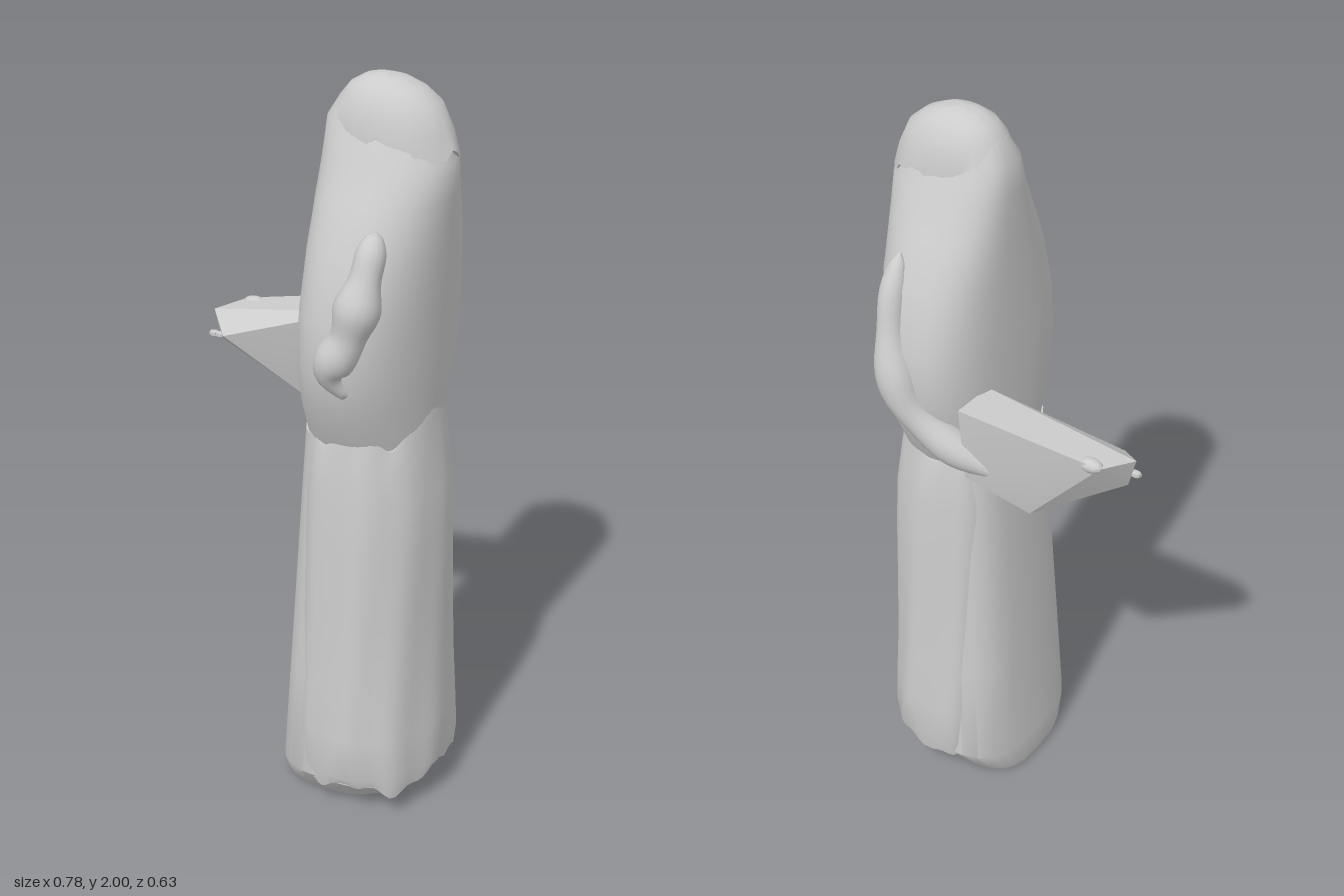
import * as THREE from 'three';
import { toCreasedNormals } from 'three/addons/utils/BufferGeometryUtils.js';
import { ConvexGeometry } from 'three/addons/geometries/ConvexGeometry.js';

const material = new THREE.MeshStandardMaterial({ color: 0xcccccc, side: THREE.DoubleSide });

function part(name, geometry, crease = 0.6) {
  const mesh = new THREE.Mesh(toCreasedNormals(geometry, crease), material);
  mesh.name = name;
  return mesh;
}

// Closed loft through rings [y, xFront, xBack, zHalf].
// square flattens the front; adjust(v, t, row) moves each vertex.
function loft(rings, { square = 0.7, seg = 48, adjust = () => {} } = {}) {
  const pos = [], index = [], v = new THREE.Vector3();
  const curve = (n, p) => Math.sign(n) * Math.pow(Math.abs(n), p);
  rings.forEach(([y, x0, x1, zh], row) => {
    for (let i = 0; i < seg; i++) {
      const t = (i / seg) * Math.PI * 2, c = Math.cos(t), s = Math.sin(t);
      const p = c < 0 ? square : 0.95;
      v.set((x0 + x1) / 2 + curve(c, p) * (x1 - x0) / 2, y, curve(s, p) * zh);
      adjust(v, t, row);
      pos.push(v.x, v.y, v.z);
      if (row < rings.length - 1) {
        const a = row * seg + i, b = row * seg + (i + 1) % seg;
        index.push(a, a + seg, b, b, a + seg, b + seg);
      }
    }
  });
  // Fan caps
  [0, rings.length - 1].forEach((row) => {
    const [y, x0, x1] = rings[row], centre = pos.length / 3;
    pos.push((x0 + x1) / 2, y, 0);
    for (let i = 0; i < seg; i++) {
      const a = row * seg + i, b = row * seg + (i + 1) % seg;
      index.push(...(row ? [centre, b, a] : [centre, a, b]));
    }
  });
  const g = new THREE.BufferGeometry();
  g.setAttribute('position', new THREE.Float32BufferAttribute(pos, 3));
  g.setIndex(index);
  return g;
}

// Lumpy limb: a tube whose radius swells and closes at both ends
function limb(points, radius) {
  const path = new THREE.CatmullRomCurve3(points.map((p) => new THREE.Vector3(...p)));
  const n = 32, sides = 16, g = new THREE.TubeGeometry(path, n, 1, sides);
  const p = g.attributes.position, v = new THREE.Vector3();
  for (let i = 0; i <= n; i++) {
    const u = i / n, c = path.getPointAt(u);
    const r = radius * Math.pow(Math.max(0, Math.sin(Math.PI * u)), 0.45) * (1 + 0.13 * Math.sin(u * 19));
    for (let j = 0; j <= sides; j++) {
      const k = i * (sides + 1) + j;
      v.fromBufferAttribute(p, k).sub(c).multiplyScalar(r).add(c);
      p.setXYZ(k, v.x, v.y, v.z);
    }
  }
  return g;
}

const jag = (t) => 0.018 * Math.sin(5 * t + 1) + 0.01 * Math.sin(13 * t);

export function createModel() {
  const group = new THREE.Group();

  // Inner gown: slopes forward to a flat toe at the ground
  group.add(part('innerGown', loft([
    [0.0, -0.05, 0.27, 0.16], [0.02, -0.055, 0.3, 0.18], [0.09, -0.05, 0.365, 0.23],
    [0.4, -0.03, 0.35, 0.22], [1.1, 0.01, 0.31, 0.185],
  ], { square: 0.6, seg: 24 })));

  // Outer robe skirt with soft folds, ragged at the hem and waist
  const skirt = [
    [0.09, 0.01, 0.375, 0.24], [0.13, 0.005, 0.38, 0.25], [0.25, 0.0, 0.372, 0.25],
    [0.4, 0.0, 0.365, 0.238], [0.6, 0.0, 0.36, 0.23], [0.8, 0.0, 0.357, 0.222],
    [0.95, 0.003, 0.35, 0.215], [1.05, 0.01, 0.335, 0.205], [1.11, 0.015, 0.325, 0.195],
  ];
  group.add(part('robeSkirt', loft(skirt, {
    square: 0.75, seg: 72,
    adjust(v, t, row) {
      const fold = 1 + 0.02 * Math.sin(9 * t + v.y * 3) * (1 - v.y * 0.6);
      v.x = 0.18 + (v.x - 0.18) * fold;
      v.z *= fold;
      if (row === 0) v.y += jag(t);
      if (row === skirt.length - 1) v.y += jag(t) + 0.045 * Math.pow(Math.max(0, Math.cos(t)), 6);
    },
  }), 0.9));

  // Upper body, wide at the elbows and tapering to the hood
  group.add(part('torso', loft([
    [1.08, 0.01, 0.32, 0.185], [1.2, 0.01, 0.328, 0.245], [1.32, 0.012, 0.335, 0.275],
    [1.45, 0.015, 0.34, 0.27], [1.6, 0.02, 0.35, 0.23], [1.72, 0.022, 0.355, 0.17],
    [1.81, 0.025, 0.358, 0.122], [1.89, 0.03, 0.31, 0.088], [1.94, 0.06, 0.26, 0.06],
  ], { square: 0.75 })));

  // Hood cap, sloping down at the back
  group.add(part('hoodCap', loft([
    [1.86, 0.035, 0.362, 0.105], [1.9, 0.042, 0.345, 0.1], [1.94, 0.06, 0.315, 0.086],
    [1.972, 0.085, 0.275, 0.065], [1.992, 0.12, 0.23, 0.038], [2.0, 0.15, 0.19, 0.012],
  ], {
    square: 0.9, seg: 36,
    adjust(v, t, row) {
      if (row === 0) v.y += jag(t) * 0.9 - 0.03 * Math.cos(t) - 0.01;
      if (row === 1) v.y -= 0.025 * Math.max(0, Math.cos(t));
    },
  }), 0.9));

  // Arms emerging from the sides of the robe
  group.add(part('leftArm', limb([
    [0.25, 1.68, 0.19], [0.24, 1.55, 0.235], [0.21, 1.42, 0.255], [0.17, 1.33, 0.262], [0.21, 1.26, 0.24],
  ], 0.052), 1.2));
  group.add(part('rightArm', limb([
    [0.23, 1.68, -0.19], [0.23, 1.55, -0.235], [0.21, 1.4, -0.26], [0.17, 1.3, -0.265],
    [0.07, 1.2, -0.235], [-0.04, 1.15, -0.205], [-0.12, 1.12, -0.18],
  ], 0.048), 1.2));

  // Wide sleeve held out in front
  group.add(part('rightSleeve', new ConvexGeometry([
    [0.03, 1.325, -0.25], [0.03, 1.32, -0.12], [0.02, 1.12, -0.24], [0.02, 1.13, -0.15],
    [-0.34, 1.26, -0.19], [-0.39, 1.25, -0.1], [-0.37, 1.17, -0.1], [-0.32, 1.21, -0.03],
    [-0.14, 1.04, -0.19], [-0.14, 1.045, -0.13],
  ].map((p) => new THREE.Vector3(...p))), 0.5));

  // Fingers at the sleeve opening
  [[-0.31, 1.255, -0.18, 0.034], [-0.375, 1.19, -0.075, 0.018], [-0.345, 1.2, -0.055, 0.016]]
    .forEach(([x, y, z, r]) => {
      const finger = part('finger', new THREE.SphereGeometry(r, 12, 8), 1.2);
      finger.scale.set(1, 0.55, 0.6);
      finger.position.set(x, y, z);
      group.add(finger);
    });

  // Shoes peeking out under the hem
  [-1, 1].forEach((side) => {
    const shoe = part('shoe', new THREE.SphereGeometry(1, 20, 12), 1.2);
    shoe.scale.set(0.14, 0.03, 0.045);
    shoe.position.set(0.16, 0.03, side * 0.11);
    shoe.rotation.y = side * 0.2;
    group.add(shoe);
  });

  return group;
}
